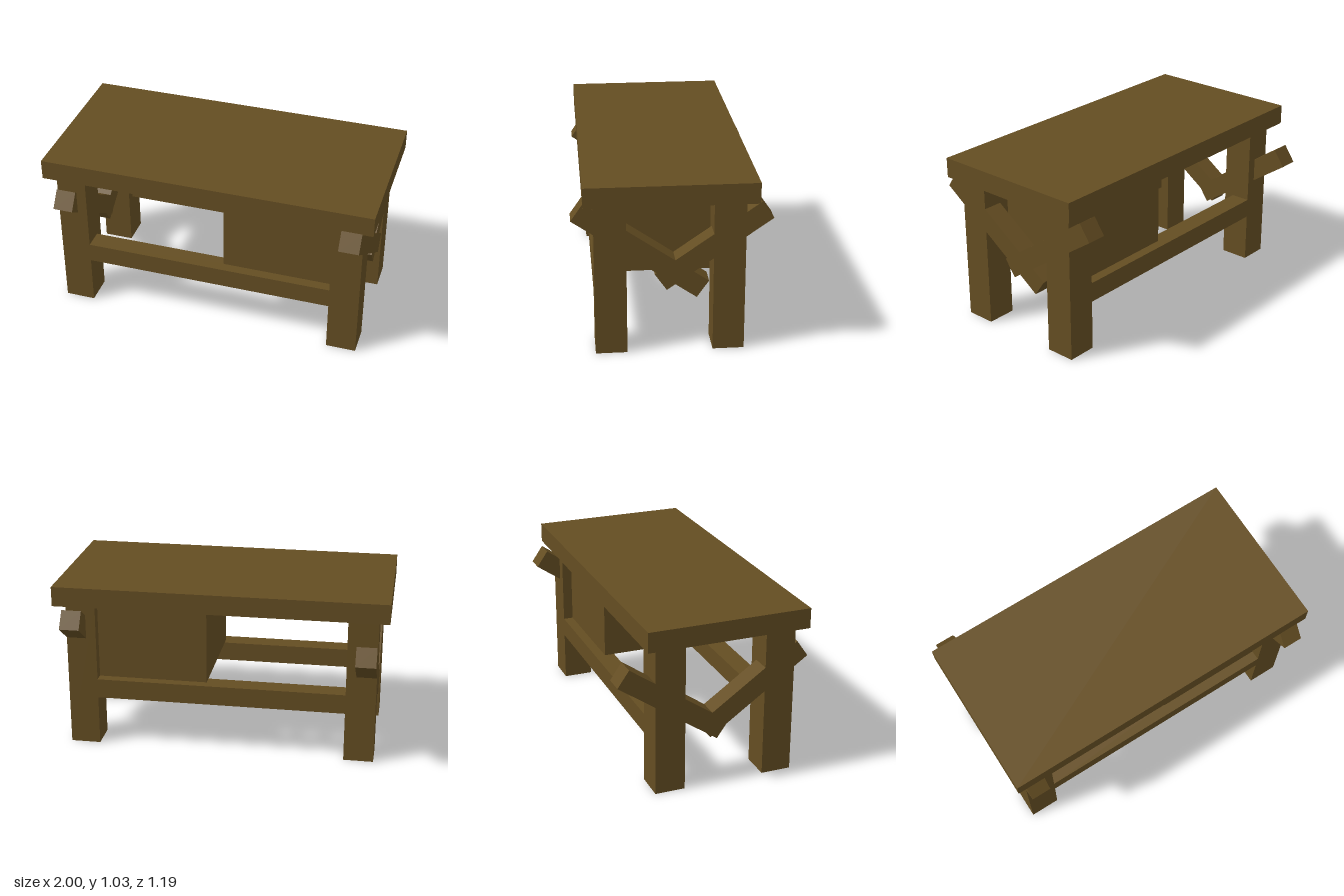
import * as THREE from 'three';

export function createModel() {
  const model = new THREE.Group();
  model.name = 'workbench';
  const wood = new THREE.MeshStandardMaterial({ color: 0x644d22 });
  wood.name = 'brownWood';

  // Box given by its extents along each axis
  function block(name, [x0, x1], [y0, y1], [z0, z1]) {
    const mesh = new THREE.Mesh(new THREE.BoxGeometry(x1 - x0, y1 - y0, z1 - z0), wood);
    mesh.position.set((x0 + x1) / 2, (y0 + y1) / 2, (z0 + z1) / 2);
    mesh.name = name;
    model.add(mesh);
    return mesh;
  }

  block('tableTop', [-1, 1], [0.91, 1.03], [-0.44, 0.53]);

  // Legs
  const spans = { front: [0.293, 0.473], back: [-0.375, -0.195] };
  for (const [end, z] of Object.entries(spans)) {
    block(end + 'LeftLeg', [0.757, 0.937], [0, 0.91], z);
    block(end + 'RightLeg', [-0.937, -0.757], [0, 0.91], z);
  }

  // Long rails, flush with the outer faces of the legs
  block('frontRail', [-0.757, 0.757], [0.306, 0.426], [0.353, 0.473]);
  block('backRail', [-0.757, 0.757], [0.306, 0.426], [-0.375, -0.255]);

  // Cabinet resting on the rails
  block('cabinet', [0.09, 0.757], [0.426, 0.91], [-0.315, 0.413]);

  // Slanted beam: lower edge starts at (z, y) and runs down toward the other side
  const W = 0.12, slope = Math.atan(0.695);
  function brace(name, x, z, y, length) {
    const dir = -Math.sign(z);
    const along = new THREE.Vector3(0, -Math.sin(slope), dir * Math.cos(slope));
    const up = new THREE.Vector3(0, Math.cos(slope), dir * Math.sin(slope));
    const mesh = new THREE.Mesh(new THREE.BoxGeometry(W, W, length), wood);
    mesh.position.set(x, y, z).addScaledVector(along, length / 2).addScaledVector(up, W / 2);
    mesh.rotation.x = dir * slope;
    mesh.name = name;
    model.add(mesh);
  }
  brace('leftFrontBrace', 0.877, 0.597, 0.817, 0.85);
  brace('leftBackBrace', 0.877, -0.527, 0.797, 0.725);
  brace('rightFrontBrace', -0.877, 0.555, 0.714, 0.725);
  brace('rightBackBrace', -0.877, -0.595, 0.7, 0.725);

  return model;
}
